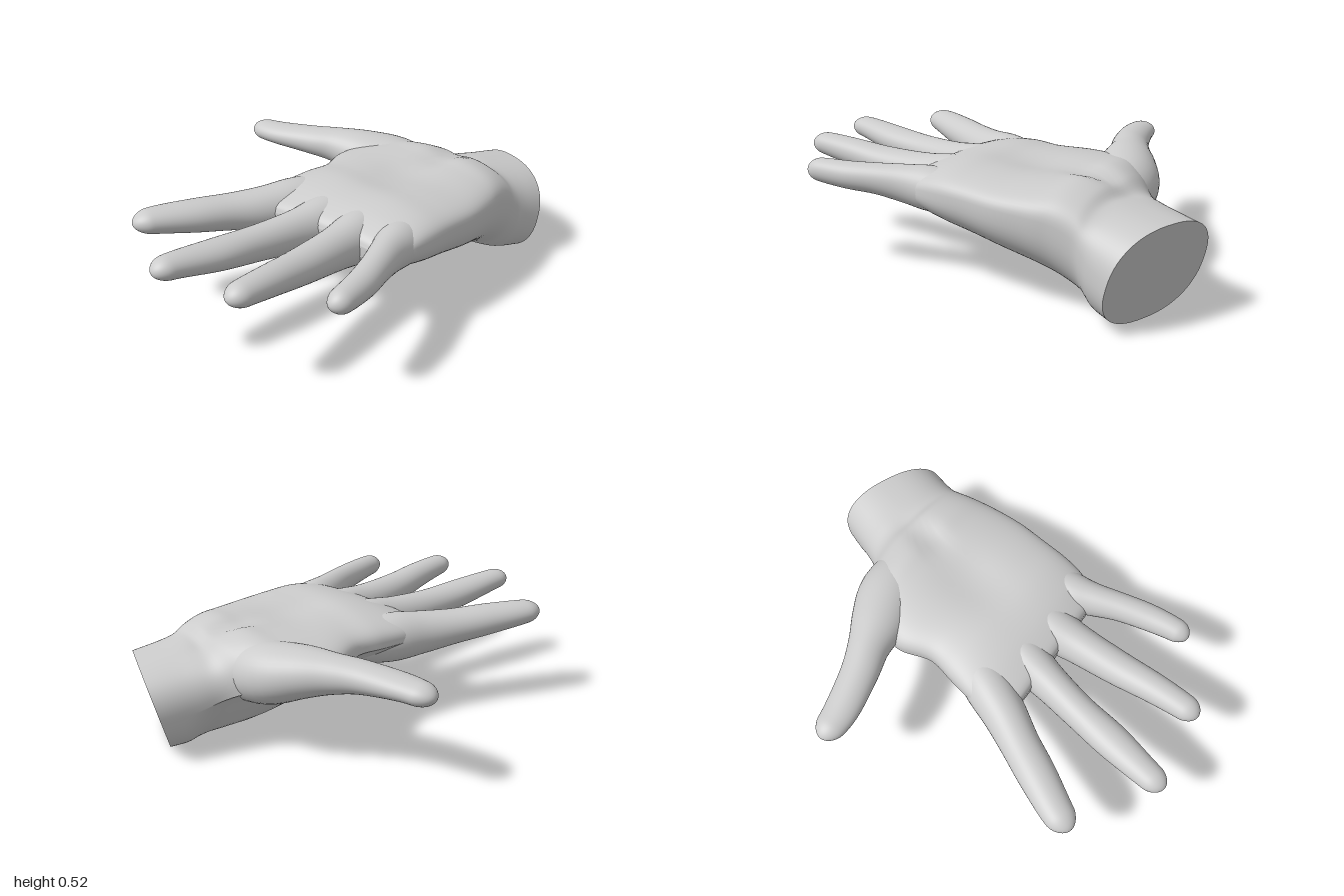
import * as THREE from 'three';

const SIDES = 40;
const skin = new THREE.MeshStandardMaterial({ color: 0xcccccc });

// Skin a list of equal-length closed rings, closing either end with a fan
function loft(rings, closeStart, closeEnd) {
  const n = rings[0].length, pos = [], idx = [];
  rings.forEach(r => r.forEach(p => pos.push(p.x, p.y, p.z)));
  for (let j = 0; j < rings.length - 1; j++) {
    for (let i = 0; i < n; i++) {
      const a = j * n + i, b = j * n + (i + 1) % n;
      idx.push(a, a + n, b, b, a + n, b + n);
    }
  }
  const fan = (ring, base, flip) => {
    const c = ring.reduce((s, p) => s.add(p), new THREE.Vector3()).divideScalar(n);
    const k = pos.length / 3;
    pos.push(c.x, c.y, c.z);
    for (let i = 0; i < n; i++) {
      const a = base + i, b = base + (i + 1) % n;
      if (flip) idx.push(k, a, b); else idx.push(k, b, a);
    }
  };
  if (closeStart) fan(rings[0], 0, true);
  if (closeEnd) fan(rings[rings.length - 1], (rings.length - 1) * n, false);
  const g = new THREE.BufferGeometry();
  g.setAttribute('position', new THREE.Float32BufferAttribute(pos, 3));
  g.setIndex(idx);
  g.computeVertexNormals();
  return g;
}

function part(name, geometry) {
  const m = new THREE.Mesh(geometry, skin);
  m.name = name;
  return m;
}

// Smooth interpolation of two or three columns of a table
const track = (rows, a, b, c) => new THREE.CatmullRomCurve3(
  rows.map(r => new THREE.Vector3(r[a], r[b], c === undefined ? 0 : r[c])), false, 'catmullrom', 0.5);

// Tapered digit with a rounded tip; rows are x, y, z, half width, half height
function digit(rows) {
  const path = track(rows, 0, 1, 2), size = track(rows, 3, 4);
  const tip = rows[rows.length - 1], end = path.getPoint(1), round = tip[3] * 1.25;
  const up = new THREE.Vector3(0, 1, 0), rings = [], steps = 44;
  for (let j = 0; j <= steps; j++) {
    const t = 1 - (1 - j / steps) ** 1.9;
    const p = path.getPoint(t), d = path.getTangent(t), s = size.getPoint(t);
    const side = d.clone().cross(up).normalize(), top = side.clone().cross(d);
    const q = 1 - Math.min(1, p.distanceTo(end) / round);
    const k = Math.max(0.03, Math.sqrt(1 - q * q));
    const ring = [];
    for (let i = 0; i < SIDES; i++) {
      const a = i / SIDES * Math.PI * 2;
      ring.push(p.clone().addScaledVector(side, Math.cos(a) * s.x * k)
        .addScaledVector(top, Math.sin(a) * s.y * k));
    }
    rings.push(ring);
  }
  return loft(rings, true, true);
}

// Palm and wrist: x, zMin, zMax, yTop, yBottom, yEdge, slant by z, slant by y
const PALM = [
  [-0.255, -0.06, 0.53, 0.42, 0.36, 0.39, 0.11, 0],
  [-0.24, -0.13, 0.58, 0.45, 0.325, 0.39, 0.11, 0],
  [-0.20, -0.16, 0.605, 0.475, 0.295, 0.39, 0.09, 0],
  [-0.10, -0.175, 0.63, 0.51, 0.26, 0.40, 0.04, 0],
  [0.02, -0.165, 0.64, 0.53, 0.23, 0.40, 0, 0],
  [0.15, -0.155, 0.64, 0.525, 0.20, 0.40, 0, 0],
  [0.30, -0.21, 0.64, 0.52, 0.16, 0.39, 0, 0],
  [0.45, -0.19, 0.62, 0.525, 0.12, 0.375, 0, 0],
  [0.55, -0.13, 0.60, 0.53, 0.085, 0.355, 0, 0],
  [0.64, -0.03, 0.59, 0.505, 0.05, 0.32, 0, 0],
  [0.70, 0.045, 0.60, 0.465, 0.025, 0.28, -0.05, 0.03],
  [0.77, 0.085, 0.615, 0.445, 0.012, 0.245, -0.15, 0.12],
  [0.90, 0.13, 0.64, 0.42, 0.005, 0.21, -0.31, 0.25],
];

const bump = (x, z, cx, cz, rx, rz) => Math.exp(-(((x - cx) / rx) ** 2) - ((z - cz) / rz) ** 2);

function palmRings() {
  const span = track(PALM, 0, 1, 2), height = track(PALM, 3, 4, 5), slant = track(PALM, 6, 7);
  const { smoothstep } = THREE.MathUtils;
  const rings = [], steps = 72, n = SIDES * 2;
  for (let j = 0; j <= steps; j++) {
    const t = j / steps;
    const w = span.getPoint(t), h = height.getPoint(t), s = slant.getPoint(t);
    const zc = (w.y + w.z) / 2, half = (w.z - w.y) / 2, ring = [];
    const squareness = 0.62 + 0.2 * smoothstep(w.x, 0.55, 0.8);
    // how much the back of the hand thins out toward the thumb
    const thinning = (1 + 3.5 * Math.max(0, w.x)) * (1 - smoothstep(w.x, 0.58, 0.84));
    for (let i = 0; i < n; i++) {
      const a = i / n * Math.PI * 2, c = Math.cos(a), v = Math.sin(a);
      const z = zc + half * Math.sign(c) * Math.abs(c) ** 0.85;
      let y;
      if (v >= 0) {
        y = h.z + (h.x - h.z) * v ** squareness;
        // hollow of the palm, valley beside the thumb mound, crease at the wrist
        y -= v * (0.022 * bump(w.x, z, 0.25, 0.24, 0.22, 0.13)
          + 0.028 * bump(w.x, z, 0.56, 0.26, 0.12, 0.06)
          + 0.008 * bump(w.x + 0.1 * z, z, 0.72, 0.3, 0.025, 0.2));
      } else {
        const p = 0.88 + thinning * smoothstep(-c, 0, 0.5);
        y = h.z - (h.z - h.y) * Math.abs(v) ** p;
      }
      const x = w.x + s.x * (z - zc) + s.y * (y - 0.21);
      ring.push(new THREE.Vector3(x, y, z));
    }
    rings.push(ring);
  }
  return rings;
}

const DIGITS = {
  indexFinger: [
    [0.10, 0.385, 0.02, 0.10, 0.09], [-0.10, 0.388, -0.06, 0.112, 0.115], [-0.26, 0.393, -0.118, 0.1, 0.1],
    [-0.40, 0.405, -0.178, 0.089, 0.083], [-0.55, 0.42, -0.238, 0.086, 0.073],
    [-0.71, 0.435, -0.303, 0.074, 0.058], [-0.815, 0.44, -0.335, 0.06, 0.045]],
  middleFinger: [
    [0.08, 0.36, 0.165, 0.11, 0.12], [-0.12, 0.378, 0.148, 0.113, 0.124], [-0.30, 0.388, 0.13, 0.087, 0.096],
    [-0.50, 0.402, 0.108, 0.078, 0.078], [-0.70, 0.425, 0.092, 0.08, 0.066],
    [-0.90, 0.452, 0.072, 0.064, 0.052], [-1.0, 0.457, 0.068, 0.056, 0.044]],
  ringFinger: [
    [0.08, 0.36, 0.32, 0.11, 0.12], [-0.11, 0.378, 0.338, 0.112, 0.123], [-0.29, 0.39, 0.357, 0.09, 0.095],
    [-0.50, 0.41, 0.38, 0.08, 0.076], [-0.68, 0.437, 0.402, 0.07, 0.064],
    [-0.83, 0.455, 0.415, 0.061, 0.053], [-0.915, 0.457, 0.418, 0.055, 0.044]],
  littleFinger: [
    [0.10, 0.39, 0.49, 0.09, 0.085], [-0.08, 0.40, 0.525, 0.098, 0.098], [-0.20, 0.412, 0.565, 0.077, 0.085],
    [-0.32, 0.425, 0.613, 0.066, 0.069], [-0.45, 0.43, 0.658, 0.063, 0.061],
    [-0.58, 0.437, 0.688, 0.055, 0.053], [-0.655, 0.437, 0.693, 0.048, 0.043]],
  thumb: [
    [0.57, 0.34, 0.16, 0.12, 0.13], [0.525, 0.38, -0.02, 0.15, 0.137], [0.455, 0.418, -0.17, 0.132, 0.112],
    [0.395, 0.44, -0.30, 0.097, 0.086], [0.335, 0.45, -0.42, 0.086, 0.068],
    [0.27, 0.453, -0.60, 0.078, 0.052], [0.245, 0.452, -0.75, 0.06, 0.045]],
};

export function createModel() {
  const hand = new THREE.Group();
  hand.name = 'hand';

  // Palm with wrist, and the flat slanted cut that ends it
  const rings = palmRings(), rim = rings[rings.length - 1];
  hand.add(part('palm', loft(rings, true, false)));
  hand.add(part('wristCut', loft([rim], false, true)));

  // Four fingers and the thumb
  for (const [name, rows] of Object.entries(DIGITS)) hand.add(part(name, digit(rows)));
  return hand;
}
